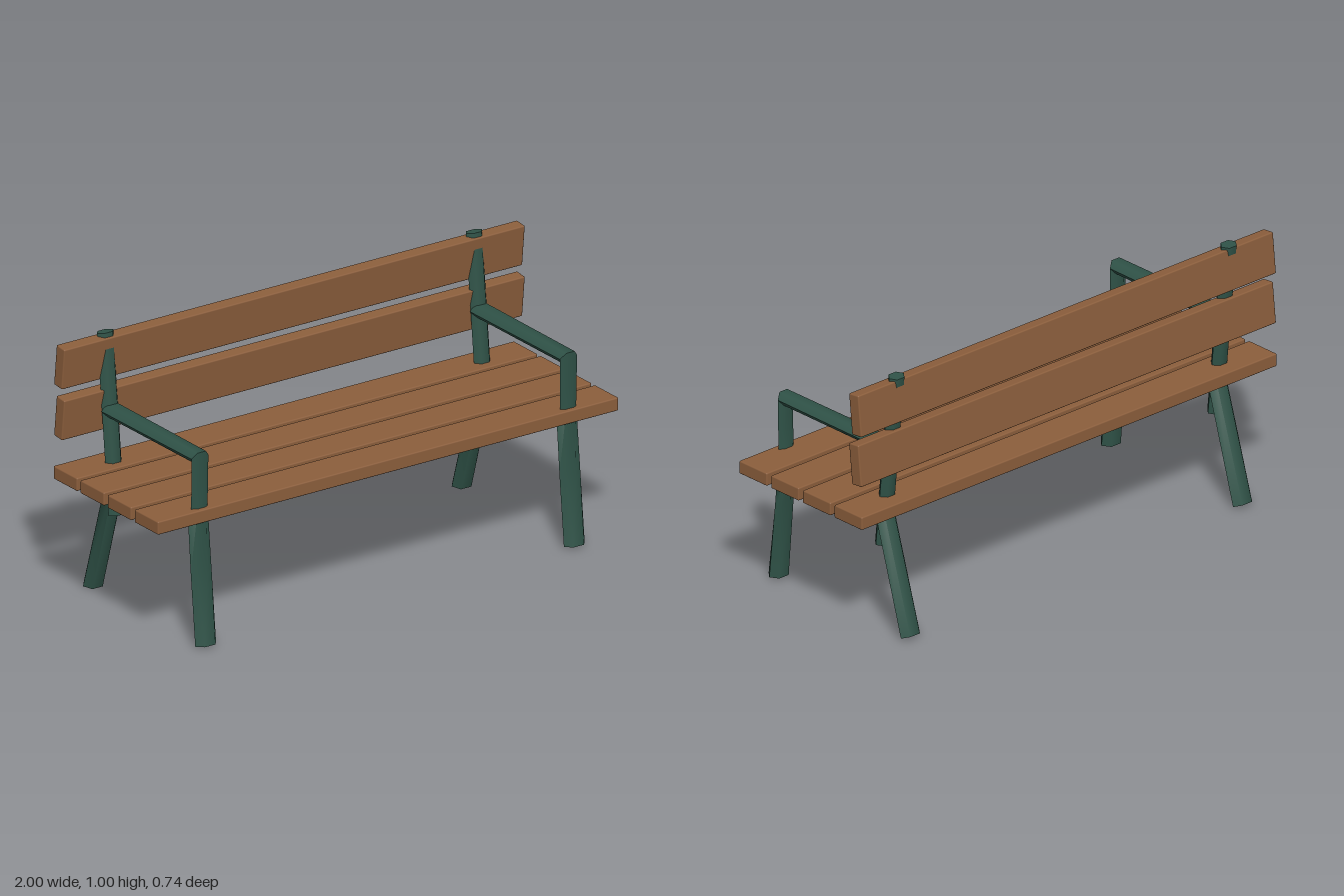
import * as THREE from 'three';
import { toCreasedNormals } from 'three/addons/utils/BufferGeometryUtils.js';
import { RoundedBoxGeometry } from 'three/addons/geometries/RoundedBoxGeometry.js';

const SIDES = 6;

// Hexagonal bar through sections [outerZ, outerY, innerZ, innerY, halfWidthX], capped at both ends
function barGeometry(sections) {
  const pos = [], index = [];
  const addRing = ([oz, oy, iz, iy, a]) => {
    const start = pos.length / 3;
    for (let j = 0; j < SIDES; j++) {
      const t = (j / SIDES) * Math.PI * 2;
      const s = Math.sin(t) / Math.sin(Math.PI / 3) / 2;
      pos.push(a * Math.cos(t), (oy + iy) / 2 + (oy - iy) * s, (oz + iz) / 2 + (oz - iz) * s);
    }
    return start;
  };
  const rings = sections.map(addRing);
  for (let i = 0; i < rings.length - 1; i++) {
    for (let j = 0; j < SIDES; j++) {
      const k = (j + 1) % SIDES, p = rings[i], q = rings[i + 1];
      index.push(p + j, q + j, p + k, p + k, q + j, q + k);
    }
  }
  const first = rings[0], last = rings[rings.length - 1];
  for (let j = 1; j < SIDES - 1; j++) {
    index.push(first, first + j, first + j + 1, last, last + j + 1, last + j);
  }
  const g = new THREE.BufferGeometry();
  g.setAttribute('position', new THREE.Float32BufferAttribute(pos, 3));
  g.setIndex(index);
  return toCreasedNormals(g, 1.1);
}

export function createModel() {
  const bench = new THREE.Group();
  bench.name = 'bench';
  const wood = new THREE.MeshStandardMaterial({ color: 0x8b5e3c });
  const metal = new THREE.MeshStandardMaterial({ color: 0x2f5247 });

  const add = (parent, name, geometry, material) => {
    const mesh = new THREE.Mesh(geometry, material);
    mesh.name = name;
    parent.add(mesh);
    return mesh;
  };

  // Seat slats
  const seatSlat = new RoundedBoxGeometry(2, 0.05, 0.145, 2, 0.005);
  [0.261, 0.095, -0.071, -0.236].forEach((z) => {
    add(bench, 'seatSlat', seatSlat, wood).position.set(0, 0.496, z);
  });

  // Back slats, tipped slightly forward at the top
  const backSlat = new RoundedBoxGeometry(2, 0.158, 0.05, 2, 0.005);
  [0.91, 0.715].forEach((y) => {
    const slat = add(bench, 'backSlat', backSlat, wood);
    slat.position.set(0, y, -0.2725);
    slat.rotation.x = 0.105;
  });

  // Pinched front leg, bar under the seat and splayed rear leg
  const legs = barGeometry([
    [0.371, 0.012, 0.315, 0.008, 0.045],
    [0.322, 0.28, 0.309, 0.28, 0.045],
    [0.318, 0.477, 0.28, 0.44, 0.044],
    [-0.226, 0.48, -0.19, 0.44, 0.044],
    [-0.37, 0.018, -0.319, 0.002, 0.045],
  ]);
  // Pinched arm support and armrest
  const arm = barGeometry([
    [0.318, 0.46, 0.288, 0.46, 0.035],
    [0.312, 0.59, 0.3, 0.59, 0.036],
    [0.319, 0.737, 0.296, 0.692, 0.037],
    [-0.24, 0.737, -0.235, 0.692, 0.041],
  ]);
  // Back post, leaning backwards
  const post = barGeometry([
    [-0.18, 0.327, -0.225, 0.322, 0.035],
    [-0.25, 1.004, -0.295, 0.998, 0.035],
  ]);

  // One frame at each end
  for (const side of [1, -1]) {
    const frame = new THREE.Group();
    frame.name = side > 0 ? 'leftFrame' : 'rightFrame';
    frame.position.x = 0.8 * side;
    add(frame, 'legs', legs, metal);
    add(frame, 'armrest', arm, metal);
    add(frame, 'backPost', post, metal);
    bench.add(frame);
  }
  return bench;
}
